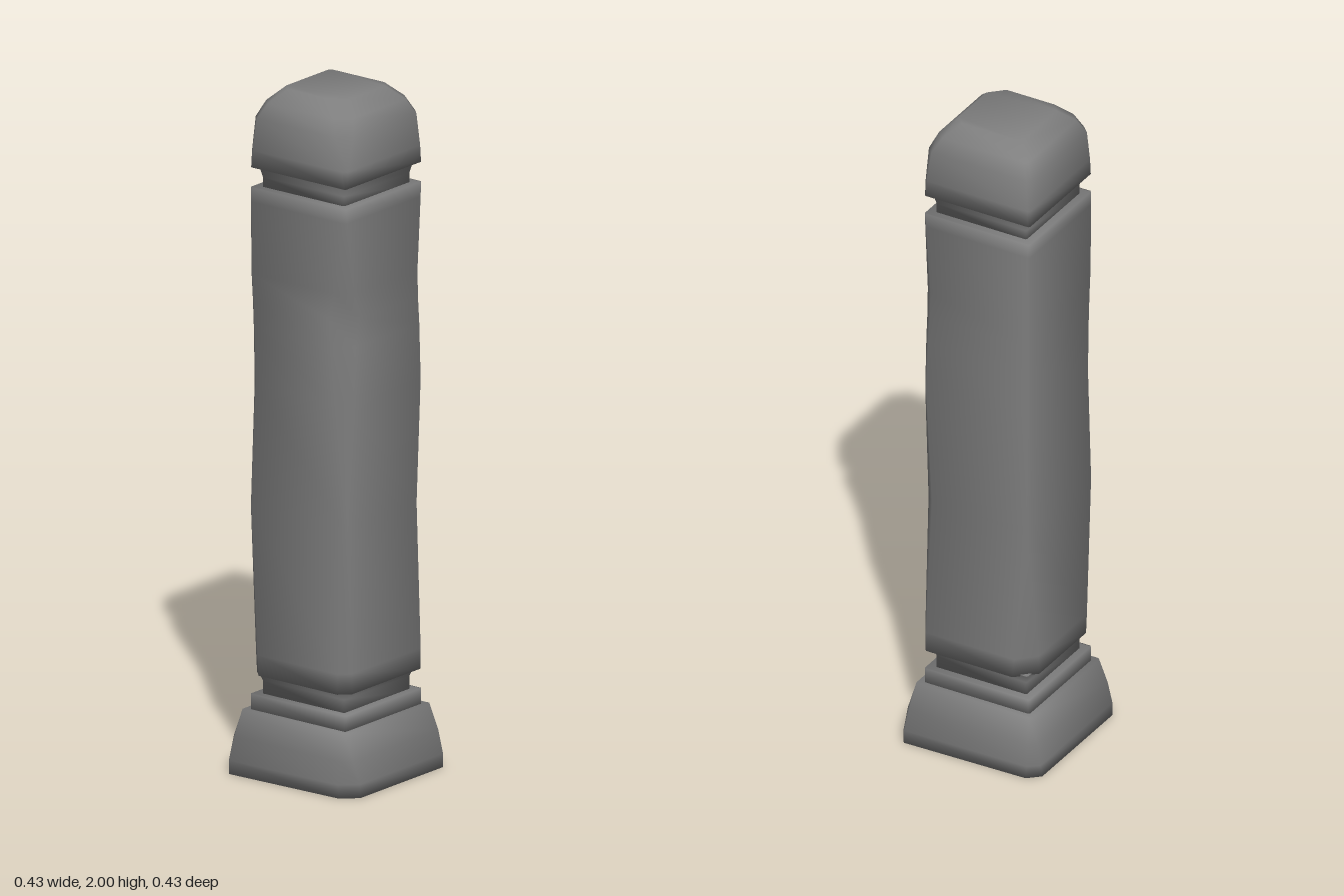
import * as THREE from 'three';
import { toCreasedNormals } from 'three/addons/utils/BufferGeometryUtils.js';

const material = new THREE.MeshStandardMaterial({ color: 0x7f7f7f });

// Corner order, counter-clockwise from above: front left, back left, back right, front right
const SIGNS = [[1, 1], [1, -1], [-1, -1], [-1, 1]];

// One square ring with worn corners. Each cut is a number, or
// [cut along x, cut along z, inset of the front or back face]
function ring(y, half, cuts) {
  const points = [];
  SIGNS.forEach(([sx, sz], i) => {
    const cut = cuts[i];
    const [cx, cz, inset] = Array.isArray(cut) ? cut : [cut, cut, 0];
    const onZ = [sx * (half - cx), y, sz * (half - inset)];
    const onX = [sx * half, y, sz * (half - cz)];
    points.push(...(i % 2 ? [onX, onZ] : [onZ, onX]));
  });
  return points;
}

// Closed, softly shaded block lofted through rows of [height, half width, four corner cuts]
function block(name, rows) {
  const positions = rows.map(([y, half, cuts]) => ring(y, half, cuts)).flat(2);
  const n = 8;
  const top = (rows.length - 1) * n;
  const index = [];
  // Sides
  for (let i = 0; i < top; i += n) {
    for (let j = 0; j < n; j++) {
      const a = i + j, b = i + (j + 1) % n;
      index.push(a, b, a + n, b, b + n, a + n);
    }
  }
  // Bottom and top, each a strip across the ring
  for (let j = 0; j < 3; j++) {
    const a = j, b = j + 1, c = 6 - j, d = 7 - j;
    index.push(a, c, b, a, d, c);
    index.push(top + a, top + b, top + c, top + a, top + c, top + d);
  }
  const geometry = new THREE.BufferGeometry();
  geometry.setAttribute('position', new THREE.Float32BufferAttribute(positions, 3));
  geometry.setIndex(index);
  const mesh = new THREE.Mesh(toCreasedNormals(geometry, 1.75), material);
  mesh.name = name;
  return mesh;
}

export function createModel() {
  const post = new THREE.Group();
  post.name = 'stonePost';
  const crisp = [0.004, 0.004, 0.004, 0.004];

  // Flared foot with two chipped corners
  post.add(block('base', [
    [0, 0.214, [[0.045, 0.055, 0.014], 0.005, [0.035, 0.04, 0.008], 0.004]],
    [0.04, 0.214, [[0.045, 0.055, 0.012], 0.005, [0.03, 0.03, 0.006], 0.004]],
    [0.11, 0.206, [0.025, 0.008, 0.02, 0.008]],
    [0.187, 0.188, [0.01, 0.006, 0.01, 0.006]],
  ]));

  // Step and narrow neck above the foot
  post.add(block('plinth', [[0.18, 0.17, crisp], [0.232, 0.17, crisp]]));
  post.add(block('lowerNeck', [[0.225, 0.147, crisp], [0.27, 0.147, crisp], [0.295, 0.155, crisp]]));

  // Tall shaft, its corners worn unevenly along the height
  post.add(block('shaft', [
    [0.29, 0.17, [0.03, 0.006, 0.055, 0.03]],
    [0.35, 0.171, [0.028, 0.008, 0.05, 0.028]],
    [0.78, 0.171, [0.01, 0.026, 0.008, 0.005]],
    [1.14, 0.171, [0.036, 0.008, 0.008, 0.022]],
    [1.3, 0.171, [0.045, 0.014, 0.008, 0.018]],
    [1.38, 0.171, [0.062, 0.02, 0.008, 0.014]],
    [1.46, 0.171, [0.038, 0.022, 0.008, 0.008]],
    [1.67, 0.171, [0.008, 0.008, 0.006, 0.005]],
    [1.712, 0.17, crisp],
  ]));

  // Groove below the cap
  post.add(block('upperNeck', [[1.705, 0.147, crisp], [1.74, 0.147, crisp], [1.775, 0.155, crisp]]));

  // Pillowed cap, more rounded towards the front
  post.add(block('cap', [
    [1.77, 0.17, crisp],
    [1.82, 0.17, [0.012, 0.008, 0.006, 0.008]],
    [1.915, 0.168, [0.035, 0.02, 0.008, 0.02]],
    [1.96, 0.149, [0.04, 0.025, 0.008, 0.025]],
    [2.0, 0.109, [0.04, 0.025, 0.008, 0.025]],
  ]));

  return post;
}
